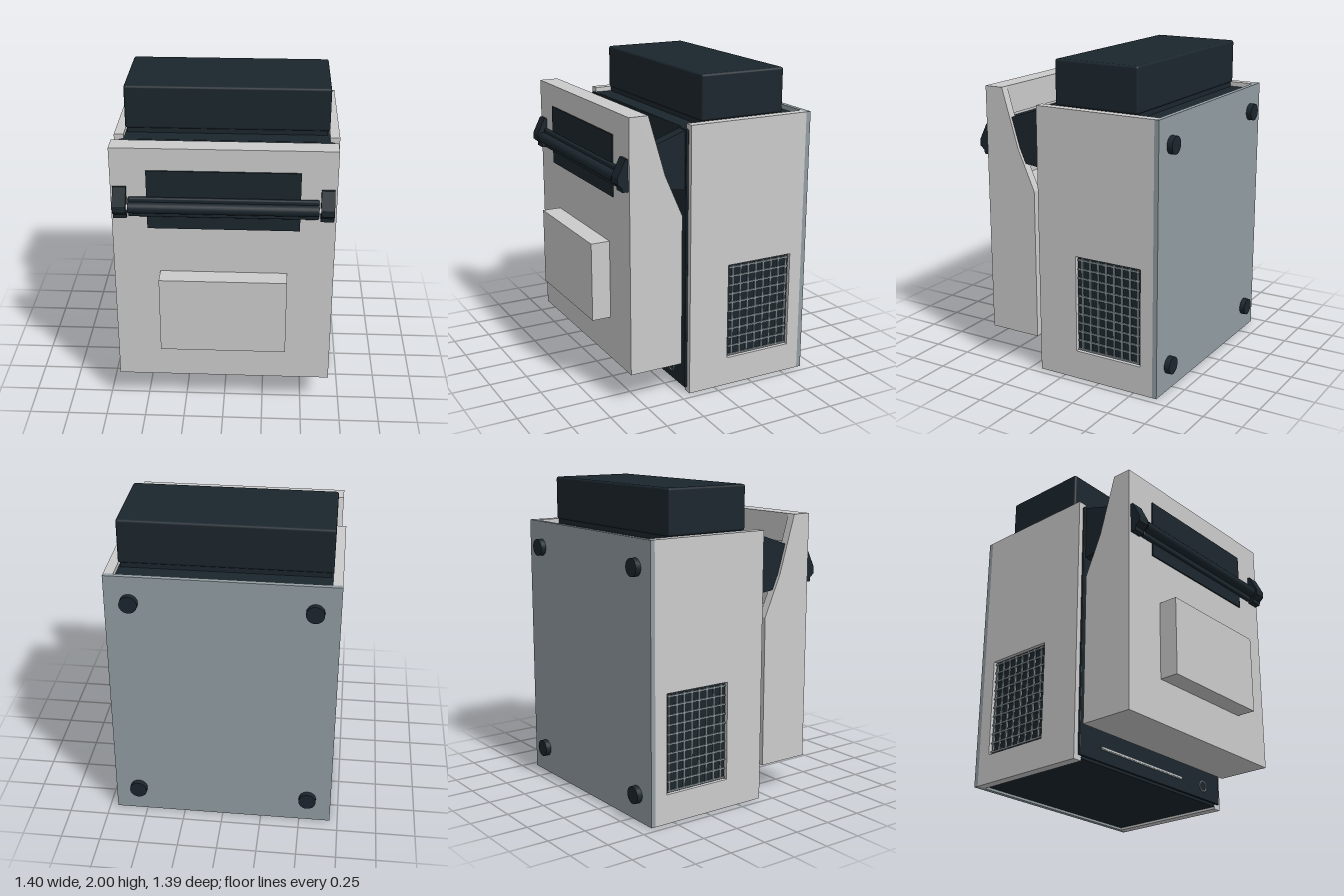
import * as THREE from 'three';
import { RoundedBoxGeometry } from 'three/addons/geometries/RoundedBoxGeometry.js';

const mat = (color) => new THREE.MeshStandardMaterial({ color });
const grey = mat(0xcccccc), dark = mat(0x1b262d), steel = mat(0x929da2), red = mat(0x8a2a2a);

export function createModel() {
  const model = new THREE.Group();
  const add = (name, geometry, material, parent = model) => {
    const mesh = new THREE.Mesh(geometry, material);
    mesh.name = name;
    parent.add(mesh);
    return mesh;
  };
  // Box given by its limits on each axis, optionally with rounded edges
  const box = (name, material, [x0, x1], [y0, y1], [z0, z1], radius = 0, parent = model) => {
    const size = [x1 - x0, y1 - y0, z1 - z0];
    const geometry = radius ? new RoundedBoxGeometry(...size, 2, radius) : new THREE.BoxGeometry(...size);
    const mesh = add(name, geometry, material, parent);
    mesh.position.set((x0 + x1) / 2, (y0 + y1) / 2, (z0 + z1) / 2);
    return mesh;
  };
  // Side profile of [z, y] points, extruded between two x limits
  const profile = (name, material, points, x0, x1, parent = model) => {
    const shape = new THREE.Shape(points.map(([z, y]) => new THREE.Vector2(-z, y)));
    const geometry = new THREE.ExtrudeGeometry(shape, { depth: x1 - x0, bevelEnabled: false });
    geometry.rotateY(Math.PI / 2).translate(x0, 0, 0);
    return add(name, geometry, material, parent);
  };
  const span = (side, a, b) => (side > 0 ? [a, b] : [-b, -a]);

  // Main body
  box('innerBody', dark, [-0.645, 0.645], [0.015, 1.69], [-0.63, 0.18]);
  box('frontPlate', dark, [-0.67, 0.67], [0.03, 1.69], [0.18, 0.198], 0.005);
  box('topBox', dark, [-0.643, 0.643], [1.72, 2], [-0.49, 0.08], 0.015);
  box('topBoxBase', dark, [-0.63, 0.63], [1.68, 1.73], [-0.48, 0.07]);
  box('backPlate', steel, [-0.7, 0.7], [0, 1.72], [-0.66, -0.63]);
  for (const x of [-0.55, 0.55]) for (const y of [0.17, 1.55]) {
    const foot = add('backFoot', new THREE.CylinderGeometry(0.055, 0.055, 0.035, 24), dark);
    foot.rotation.x = Math.PI / 2;
    foot.position.set(x, y, -0.6775);
  }

  // Side walls with a window for the grille
  for (const side of [-1, 1]) {
    const wall = new THREE.Group();
    wall.name = side > 0 ? 'leftWall' : 'rightWall';
    model.add(wall);
    const x = span(side, 0.64, 0.7);
    box('upperPanel', grey, x, [0.81, 1.72], [-0.63, 0.18], 0, wall);
    box('lowerPanel', grey, x, [0, 0.185], [-0.63, 0.18], 0, wall);
    box('frontPanel', grey, x, [0.185, 0.81], [-0.09, 0.18], 0, wall);
    box('rearPanel', grey, x, [0.185, 0.81], [-0.63, -0.545], 0, wall);
    box('grilleBacking', dark, span(side, 0.64, 0.675), [0.185, 0.81], [-0.545, -0.09], 0, wall);
    for (let i = 0; i < 8; i++) {
      const z = -0.13 - i * 0.056;
      box('grilleUpright', steel, span(side, 0.682, 0.692), [0.2, 0.8], [z - 0.005, z + 0.005], 0, wall);
    }
    for (let i = 0; i < 11; i++) {
      const y = 0.2 + i * 0.0588;
      box('grilleCrossbar', steel, span(side, 0.684, 0.694), [y - 0.005, y + 0.005], [-0.535, -0.1], 0, wall);
    }
  }

  // Slot and ring on the lower front plate
  box('slot', steel, [-0.49, 0.275], [0.105, 0.125], [0.195, 0.204]);
  box('slotOpening', grey, [-0.48, 0.265], [0.111, 0.119], [0.198, 0.206]);
  add('buttonRing', new THREE.TorusGeometry(0.033, 0.005, 8, 32), steel).position.set(0.495, 0.115, 0.2);

  // Door: front panel, cheeks and filled lower half
  const door = new THREE.Group();
  door.name = 'door';
  model.add(door);
  box('doorFront', grey, [-0.675, 0.675], [0.205, 1.8], [0.53, 0.573], 0, door);
  box('doorCore', grey, [-0.62, 0.62], [0.205, 1.17], [0.225, 0.53], 0, door);
  box('doorTopRail', grey, [-0.62, 0.62], [1.62, 1.8], [0.45, 0.53], 0, door);
  const cheek = [[0.53, 0.205], [0.53, 1.8], [0.45, 1.8], [0.34, 1.43], [0.225, 1.17], [0.225, 0.205]];
  for (const side of [-1, 1]) profile('doorCheek', grey, cheek, ...span(side, 0.62, 0.675), door);
  box('displayBlock', grey, [-0.39, 0.39], [0.48, 0.98], [0.573, 0.695], 0, door);
  box('darkPanel', dark, [-0.46, 0.46], [1.28, 1.66], [0.57, 0.582], 0, door);

  // Mechanism carried between body and door
  const arm = [[0.18, 1.32], [0.3, 1.335], [0.47, 1.38], [0.47, 1.58], [0.4, 1.615], [0.18, 1.69]];
  for (const side of [-1, 1]) profile('linkArm', dark, arm, ...span(side, 0.58, 0.655));
  box('crossBeam', dark, [-0.62, 0.62], [1.36, 1.58], [0.355, 0.53]);
  box('steelStrip', steel, [-0.555, 0.555], [1.4, 1.5], [0.335, 0.355]);
  box('darkStrip', dark, [-0.56, 0.56], [1.42, 1.52], [0.318, 0.335]);
  box('redStrip', red, [-0.545, 0.545], [1.43, 1.5], [0.311, 0.318]);

  // Handle bar and its end brackets
  const handle = new THREE.Group();
  handle.name = 'handle';
  model.add(handle);
  const bracket = [[0.57, 1.36], [0.61, 1.36], [0.612, 1.385], [0.642, 1.41], [0.642, 1.45], [0.59, 1.555], [0.57, 1.555]];
  for (const side of [-1, 1]) {
    profile('handleBracket', dark, bracket, ...span(side, 0.58, 0.66), handle);
  }
  box('handlePlate', dark, [-0.57, 0.57], [1.365, 1.49], [0.57, 0.6], 0.01, handle);
  const bars = [['handleBar', 0.035, 1.14, dark], ['handlePin', 0.02, 1.18, grey]];
  for (const [name, radius, length, material] of bars) {
    const bar = add(name, new THREE.CylinderGeometry(radius, radius, length, 24), material, handle);
    bar.rotation.z = Math.PI / 2;
    bar.position.set(0, 1.43, 0.605);
  }
  return model;
}
